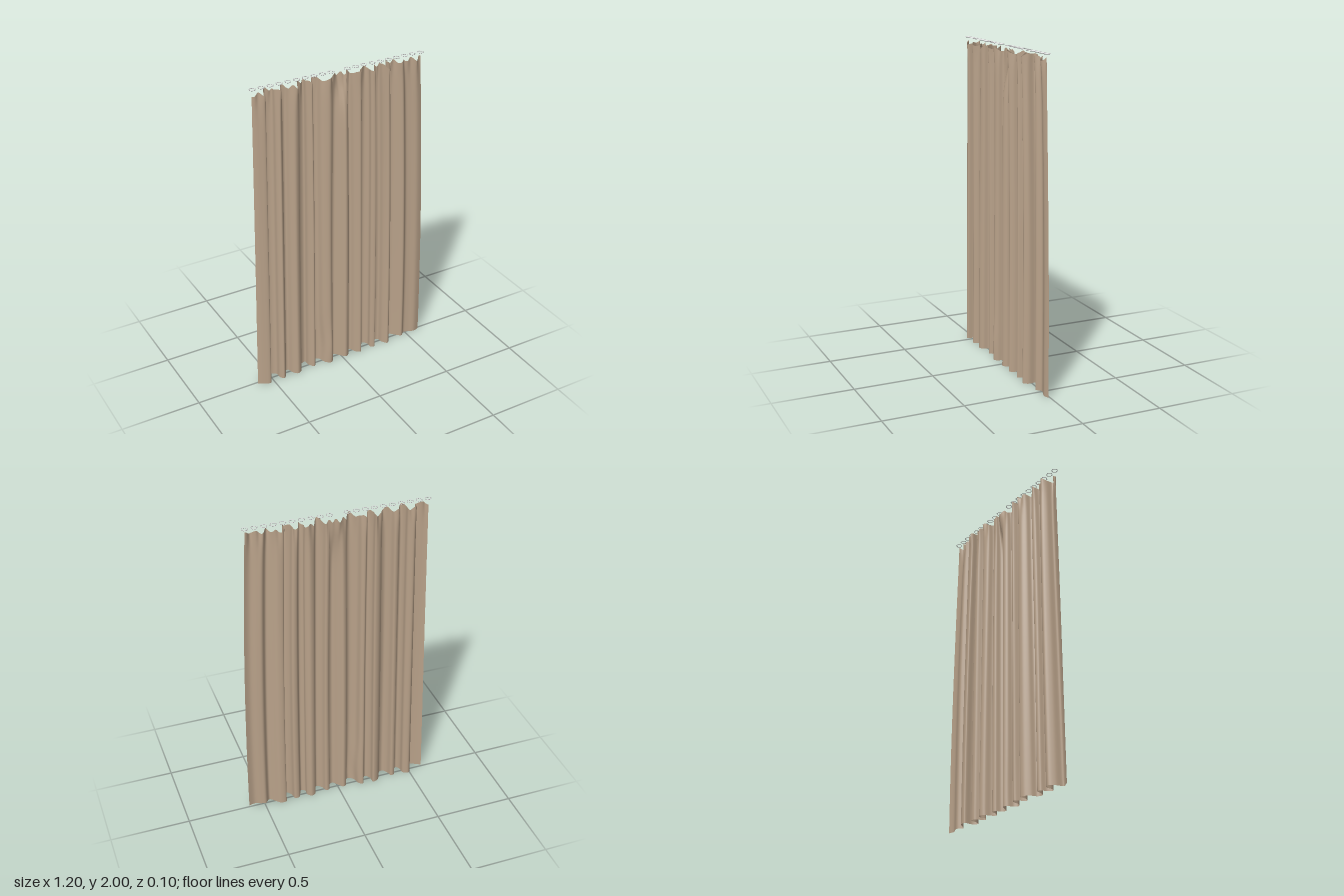
import * as THREE from 'three';

// Plan of the folds at the hem: x, z pairs from right edge to left edge
const FOLDS = [
  -0.6, 0.01, -0.57, 0.03, -0.525, 0.045, -0.515, 0, -0.49, -0.035, -0.455, -0.02,
  -0.45, 0.02, -0.43, 0.045, -0.405, 0.02, -0.395, -0.015, -0.37, -0.02, -0.355, 0.02,
  -0.33, 0.045, -0.3, 0.03, -0.29, -0.005, -0.265, -0.035, -0.235, -0.04, -0.23, 0,
  -0.205, 0.03, -0.185, 0.005, -0.17, -0.035, -0.145, -0.025, -0.13, 0.02, -0.095, 0.045,
  -0.07, 0.03, -0.06, -0.005, -0.035, -0.02, -0.01, 0.005, 0.02, 0.04, 0.05, 0.025,
  0.06, -0.01, 0.085, -0.015, 0.1, 0.02, 0.13, 0.045, 0.15, 0.02, 0.16, -0.02,
  0.19, -0.035, 0.215, -0.01, 0.215, 0.025, 0.24, 0.04, 0.255, 0.01, 0.27, -0.02,
  0.3, -0.02, 0.31, 0.02, 0.335, 0.05, 0.36, 0.02, 0.36, -0.03, 0.4, -0.03,
  0.43, 0, 0.46, 0.025, 0.49, 0, 0.52, 0.005, 0.56, 0.02, 0.6, 0.01,
];
const TOP = 1.967;
const bump = (d, width) => Math.exp(-((d / width) ** 2));

// Cloth: the fold line swept upward, narrowing and wandering slightly
function clothGeometry() {
  const points = [];
  for (let i = 0; i < FOLDS.length; i += 2) points.push(new THREE.Vector2(FOLDS[i], FOLDS[i + 1]));
  const plan = new THREE.SplineCurve(points);
  const cols = 318, rows = 40;
  const geo = new THREE.PlaneGeometry(1, 1, cols, rows);
  const pos = geo.attributes.position;
  const line = [];
  for (let i = 0; i <= cols; i++) line.push(plan.getPoint(i / cols));

  for (let j = 0; j <= rows; j++) {
    const t = 1 - j / rows;
    for (let i = 0; i <= cols; i++) {
      const { x: px, y: pz } = line[i];
      // The sides draw in toward the heading
      const narrow = px > 0 ? 1 - 0.1 * t * t : 1 - 0.065 * t;
      let x = px * narrow + 0.006 * t * Math.sin(px * 23 + t * 2.5) * (1 - Math.abs(px) / 0.6);
      let z = pz * (1 - 0.14 * t) + 0.004 * t * Math.sin(px * 31 + t * 3);
      // Small gathers close to the heading
      const heading = t ** 30;
      z += 0.008 * heading * Math.sin(px * 115);
      // Loose flap behind the middle, and a puffed fold at the hem
      z -= 0.05 * bump(px - 0.015, 0.03) * bump(t - 1, 0.08);
      z += 0.012 * bump(px + 0.12, 0.03) * bump(t - 0.05, 0.07);
      x += 0.012 * bump(px + 0.12, 0.04) * bump(t - 0.06, 0.08);
      // Scalloped upper edge
      const y = t * TOP + heading * 0.011 * Math.sin(px * 109 + Math.sin(px * 17));
      pos.setXYZ(j * (cols + 1) + i, x, y, z);
    }
  }
  geo.computeVertexNormals();
  return geo;
}

export function createModel() {
  const model = new THREE.Group();
  model.name = 'curtain';

  const cloth = new THREE.Mesh(
    clothGeometry(),
    new THREE.MeshStandardMaterial({ color: 0xb8a189, side: THREE.DoubleSide }),
  );
  cloth.name = 'cloth';
  model.add(cloth);

  // Two runs of ten flat six-sided rings above the heading
  const rings = new THREE.Group();
  rings.name = 'rings';
  const ringGeo = new THREE.TorusGeometry(0.019, 0.0025, 4, 6).rotateX(Math.PI / 2);
  const ringMat = new THREE.MeshStandardMaterial({ color: 0xcccccc, flatShading: true });
  for (const start of [-0.556, 0.045]) {
    for (let i = 0; i < 10; i++) {
      const ring = new THREE.Mesh(ringGeo, ringMat);
      ring.name = 'ring';
      ring.position.set(start + i * 0.055, 1.9975, 0.008);
      rings.add(ring);
    }
  }
  model.add(rings);
  return model;
}
